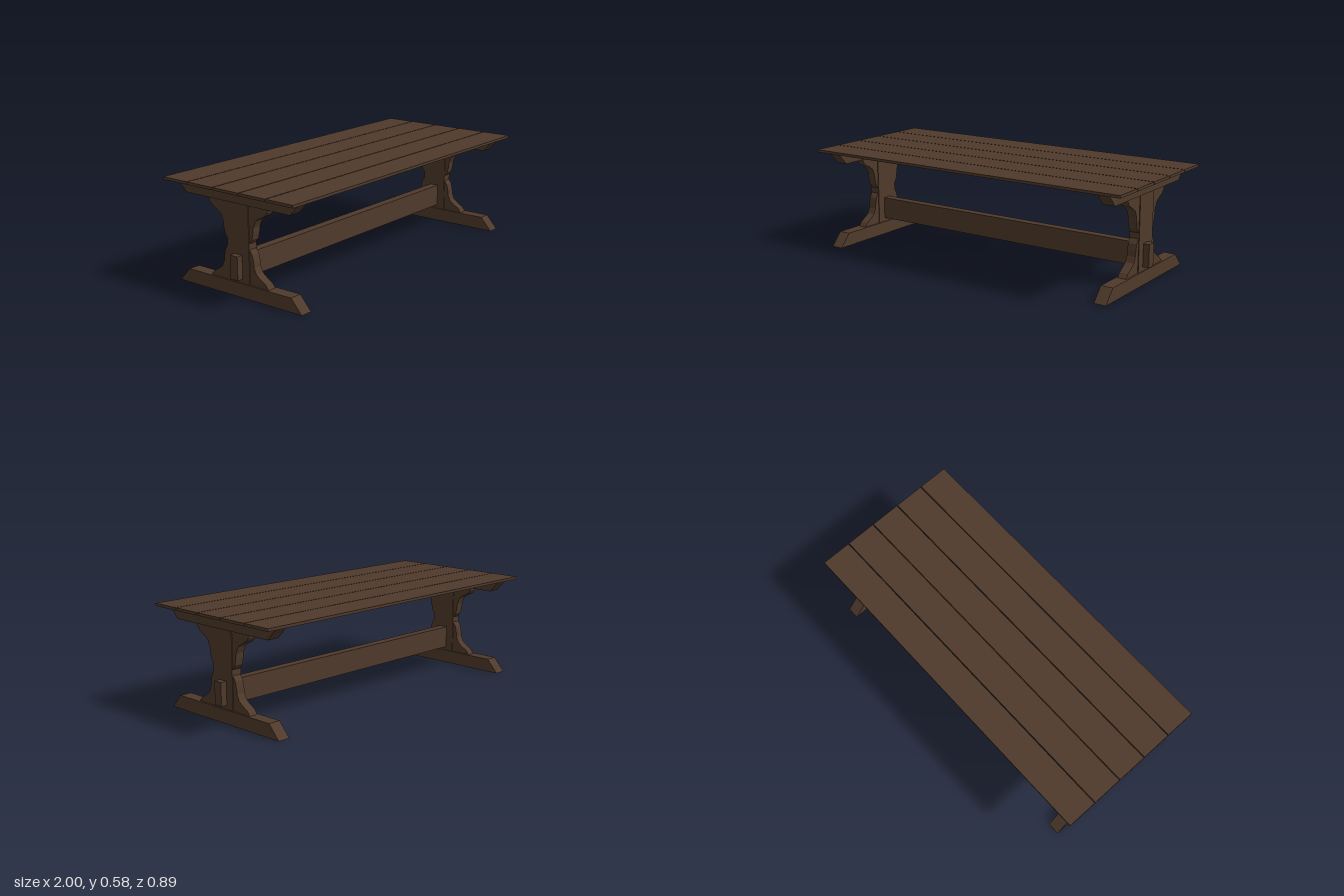
import * as THREE from 'three';

export function createModel() {
  const table = new THREE.Group();
  table.name = 'trestleTable';
  const wood = new THREE.MeshStandardMaterial({ color: 0x4f3a2b });
  wood.name = 'dark brown wood';

  const add = (parent, name, geometry, x = 0, y = 0, z = 0) => {
    const mesh = new THREE.Mesh(geometry, wood);
    mesh.name = name;
    mesh.position.set(x, y, z);
    parent.add(mesh);
  };

  // Side profile of [z, y] points, extruded to a board centred on x = 0
  const board = (points, thickness) => {
    const shape = new THREE.Shape(points.map(([z, y]) => new THREE.Vector2(z, y)));
    return new THREE.ExtrudeGeometry(shape, { depth: thickness, bevelEnabled: false })
      .translate(0, 0, -thickness / 2)
      .rotateY(-Math.PI / 2);
  };

  // Table top: five planks with narrow gaps
  for (let i = -2; i <= 2; i++) {
    add(table, 'topPlank', new THREE.BoxGeometry(2, 0.015, 0.174), 0, 0.5725, i * 0.179);
  }

  // Scalloped brackets, from the wide end to the post
  const lowerCurve = [[0.2, 0.076], [0.182, 0.1], [0.147, 0.12], [0.12, 0.14],
    [0.105, 0.173], [0.102, 0.202], [0.094, 0.238], [0.075, 0.264]];
  const upperCurve = [[0.205, 0.497], [0.2, 0.478], [0.182, 0.457], [0.147, 0.44],
    [0.12, 0.42], [0.105, 0.385], [0.102, 0.358], [0.094, 0.32], [0.075, 0.296]];

  // Two trestles
  for (const side of [-1, 1]) {
    const trestle = new THREE.Group();
    trestle.name = side > 0 ? 'leftTrestle' : 'rightTrestle';
    trestle.position.x = side * 0.891;
    table.add(trestle);

    add(trestle, 'foot', board([[-0.426, 0], [0.426, 0], [0.357, 0.076], [-0.357, 0.076]], 0.07));
    add(trestle, 'topBeam', board([[-0.357, 0.497], [0.357, 0.497], [0.421, 0.565], [-0.421, 0.565]], 0.07));
    add(trestle, 'post', new THREE.BoxGeometry(0.058, 0.421, 0.15), 0, 0.2865, 0);
    for (const s of [-1, 1]) {
      const mirror = ([z, y]) => [s * z, y];
      add(trestle, 'lowerBracket', board([...lowerCurve, [0.07, 0.264], [0.07, 0.076]].map(mirror), 0.05));
      add(trestle, 'upperBracket', board([...upperCurve, [0.07, 0.296], [0.07, 0.497]].map(mirror), 0.05));
    }
  }

  // Stretcher passing through both posts
  add(table, 'stretcher', new THREE.BoxGeometry(1.91, 0.128, 0.052), 0, 0.163, 0);

  return table;
}
